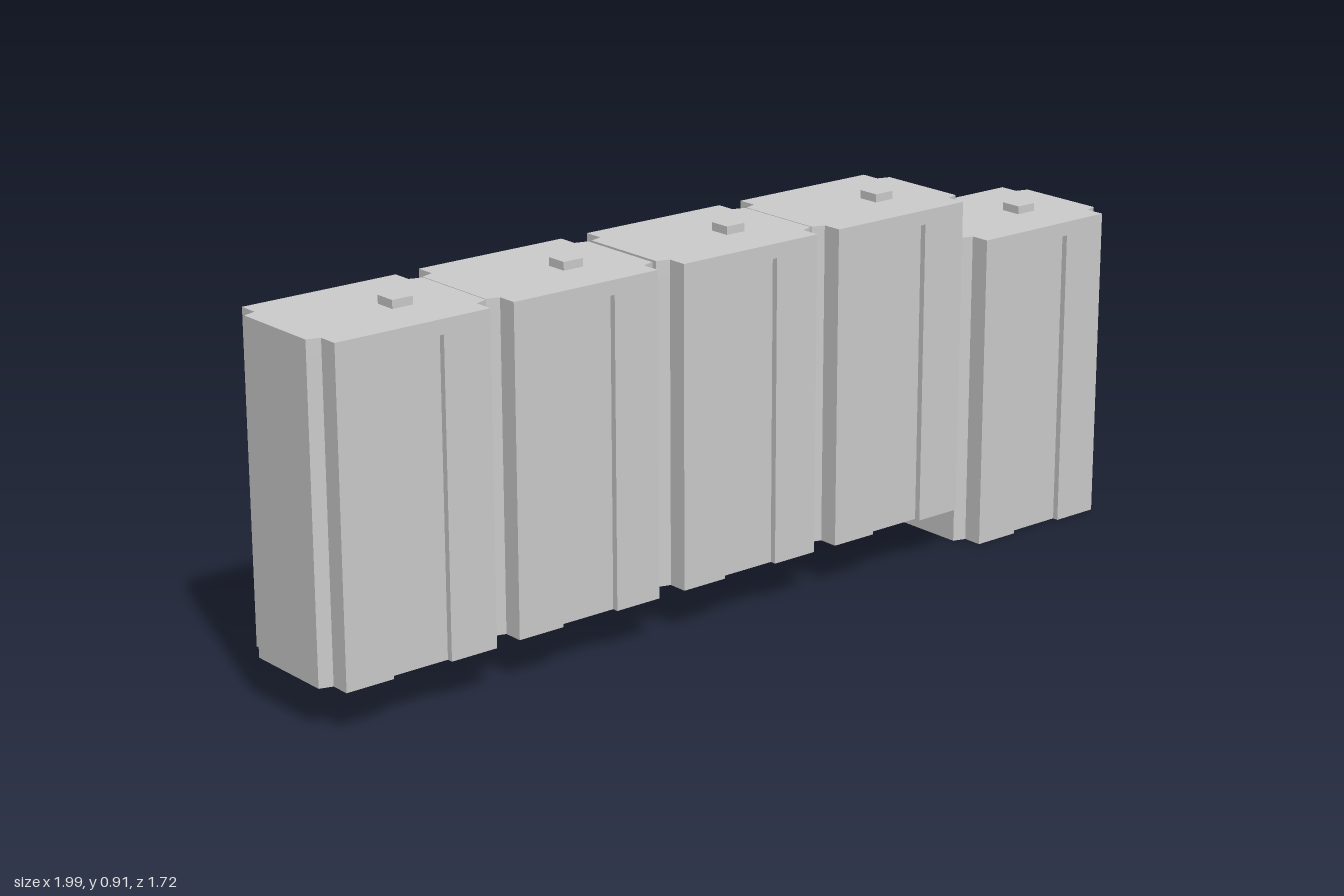
import * as THREE from 'three';

const HEIGHT = 0.78, DOOR_TOP = 0.745, ROW_ANGLE = Math.atan2(0.632, 0.775);

// Quarter of the plan outline, from the middle of the front to the middle of one end.
function quarterOutline(recess) {
  const front = recess
    ? [[0.077, 0.16], [0.077, 0.175]]
    : [];
  return [...front, [0.2, 0.175], [0.2, 0.126], [0.232, 0.116]];
}

// Mirror the quarter into a full closed plan.
function planShape(recess) {
  const q = quarterOutline(recess), r = [...q].reverse();
  const pts = [
    ...q,
    ...r.map(([x, y]) => [x, -y]),
    ...q.map(([x, y]) => [-x, -y]),
    ...r.map(([x, y]) => [-x, y]),
  ];
  return new THREE.Shape(pts.map(([x, y]) => new THREE.Vector2(x, y)));
}

function slab(recess, y, height) {
  const g = new THREE.ExtrudeGeometry(planShape(recess), { depth: height, bevelEnabled: false });
  return g.rotateX(-Math.PI / 2).translate(0, y, 0);
}

export function createModel() {
  const material = new THREE.MeshStandardMaterial({ color: 0xcccccc, flatShading: true });
  const bodyGeometry = slab(true, 0, DOOR_TOP);
  const lintelGeometry = slab(false, DOOR_TOP, HEIGHT - DOOR_TOP);
  const capGeometry = new THREE.BoxGeometry(0.054, 0.02, 0.054);
  const model = new THREE.Group();
  model.name = 'cabinetRow';

  const add = (parent, name, geometry) => {
    const mesh = new THREE.Mesh(geometry, material);
    mesh.name = name;
    parent.add(mesh);
    return mesh;
  };

  // Diagonal row of cabinets; the last one stands lower.
  [
    [-0.733, 0.11, 0.6],
    [-0.375, 0.11, 0.301],
    [-0.007, 0.11, 0.0],
    [0.355, 0.11, -0.295],
    [0.73, 0, -0.6],
  ].forEach(([x, y, z], i) => {
    const cabinet = new THREE.Group();
    cabinet.name = `cabinet${i + 1}`;
    add(cabinet, 'bodyWithRecessedDoors', bodyGeometry);
    add(cabinet, 'topPanel', lintelGeometry);
    add(cabinet, 'roofCap', capGeometry).position.set(0.063, HEIGHT + 0.01, 0.019);
    cabinet.position.set(x, y, z);
    cabinet.rotation.y = ROW_ANGLE;
    model.add(cabinet);
  });
  return model;
}
